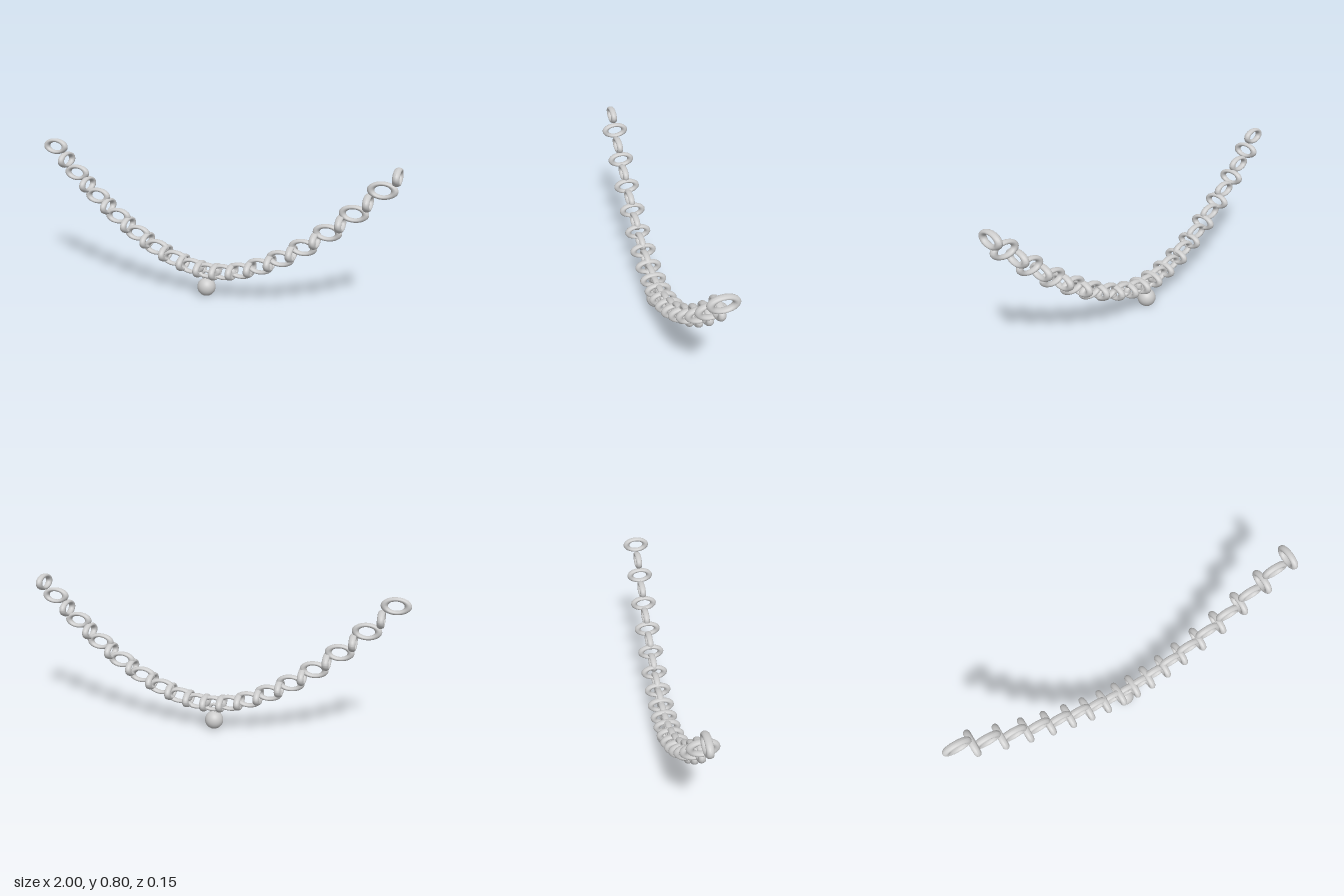
import * as THREE from 'three';

const LINKS = 34;

export function createModel() {
  const model = new THREE.Group();
  model.name = 'chainNecklace';
  const material = new THREE.MeshStandardMaterial({ color: 0xcccccc });

  const add = (name, geometry, x, y) => {
    const mesh = new THREE.Mesh(geometry, material);
    mesh.name = name;
    mesh.position.set(x, y, 0);
    model.add(mesh);
    return mesh;
  };

  // Oval chain links, every second one turned a quarter
  const linkGeometry = new THREE.TorusGeometry(0.0575, 0.0175, 16, 40);
  linkGeometry.scale(1, 0.59, 1);
  linkGeometry.computeVertexNormals();
  const half = (LINKS - 1) / 2;
  for (let i = 0; i < LINKS; i++) {
    // Hanging curve, with the links closer together at the bottom
    const s = (i - half) / half;
    const a = Math.abs(s);
    const x = 0.0285 + s * (0.735 + 0.285 * a - 0.067 * a * a);
    const y = 0.144 + 0.613 * s * s;
    const link = add('chainLink', linkGeometry, x, y);
    if (i % 2) link.rotation.y = Math.PI / 2;
  }

  // Pendant: a bead hung from a small ring
  add('pendantRing', new THREE.TorusGeometry(0.022, 0.008, 12, 28), 0, 0.118);
  add('pendantBead', new THREE.SphereGeometry(0.05, 32, 24), 0, 0.05);

  return model;
}
